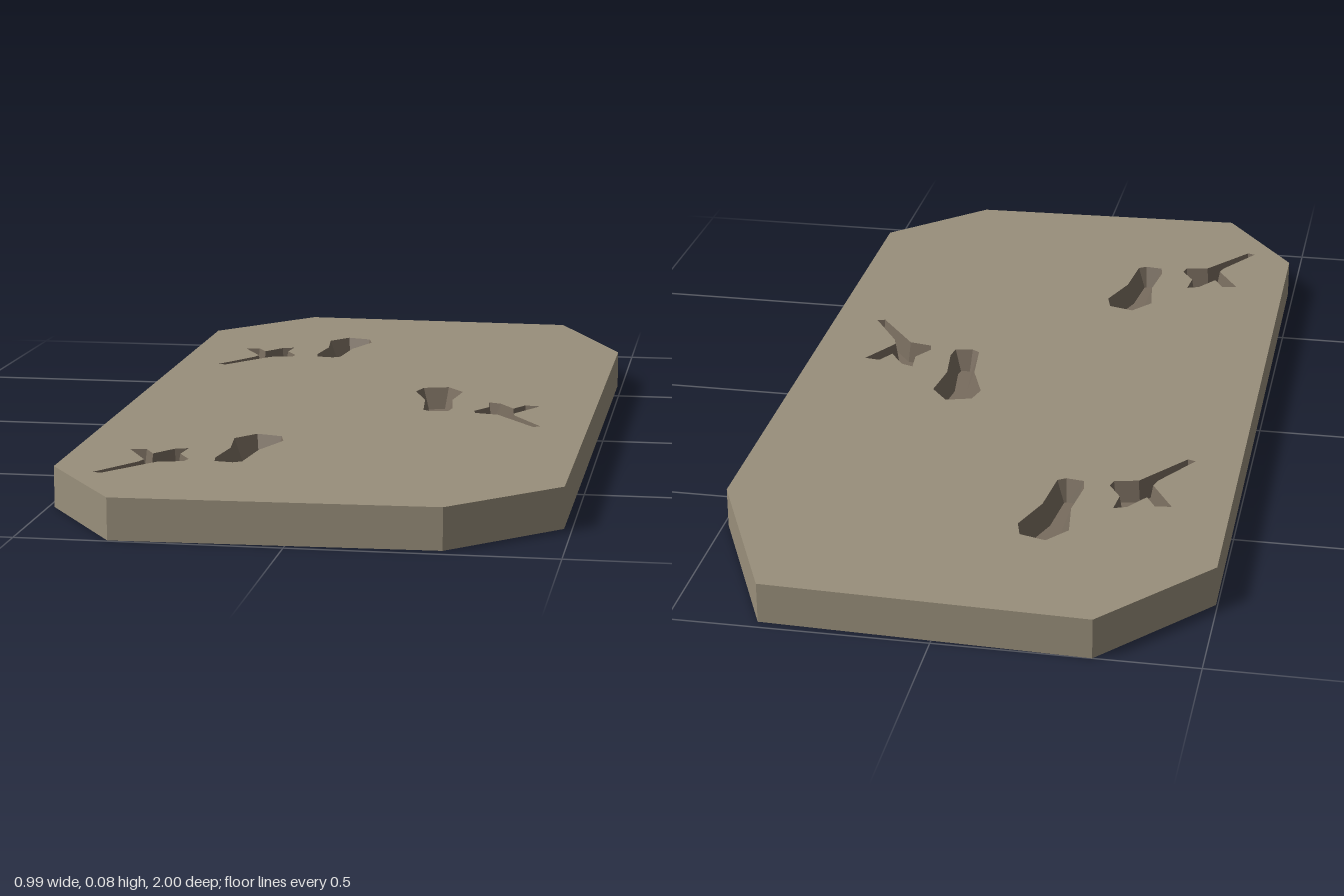
import * as THREE from 'three';

const HEIGHT = 0.08, FLOOR = 0.035;

// Plan outlines as [x, z], clockwise seen from above
const SLAB = [[-0.3, -1], [0.33, -0.98], [0.49, -0.62], [0.485, 0.78],
  [0.285, 0.975], [-0.325, 0.995], [-0.488, 0.76], [-0.497, -0.765]];
const FOOT = [[-0.164, -0.717], [-0.111, -0.701], [-0.1, -0.659], [-0.132, -0.569], [-0.143, -0.463],
  [-0.159, -0.452], [-0.196, -0.458], [-0.201, -0.489], [-0.19, -0.579], [-0.201, -0.669]];
const CLAW = [[-0.381, -0.537], [-0.349, -0.542], [-0.328, -0.505], [-0.296, -0.553], [-0.27, -0.563],
  [-0.275, -0.511], [-0.249, -0.468], [-0.254, -0.447], [-0.302, -0.437], [-0.386, -0.325],
  [-0.402, -0.331], [-0.339, -0.431], [-0.333, -0.452]];

const toPoints = loop => loop.map(([x, z]) => new THREE.Vector2(x, -z));

// Shrinks a clockwise loop by a mitred distance
function inset(loop, distance) {
  const n = loop.length;
  const normal = (a, b) => {
    const dx = b[0] - a[0], dz = b[1] - a[1], l = Math.hypot(dx, dz);
    return [-dz / l, dx / l];
  };
  return loop.map((p, i) => {
    const a = normal(loop[(i + n - 1) % n], p), b = normal(p, loop[(i + 1) % n]);
    const k = distance / Math.max(0.6, 1 + a[0] * b[0] + a[1] * b[1]);
    return [p[0] + (a[0] + b[0]) * k, p[1] + (a[1] + b[1]) * k];
  });
}

// Band of quads between an upper and a lower loop
function wall(upper, lower, yUpper, yLower, inward) {
  const pos = [];
  upper.forEach((p, i) => {
    const j = (i + 1) % upper.length;
    const at = [p[0], yUpper, p[1]], bt = [upper[j][0], yUpper, upper[j][1]];
    const ab = [lower[i][0], yLower, lower[i][1]], bb = [lower[j][0], yLower, lower[j][1]];
    const tris = inward ? [ab, bb, bt, ab, bt, at] : [ab, bt, bb, ab, at, bt];
    tris.forEach(v => pos.push(...v));
  });
  const g = new THREE.BufferGeometry();
  g.setAttribute('position', new THREE.Float32BufferAttribute(pos, 3));
  g.computeVertexNormals();
  return g;
}

// Flat horizontal face, optionally pierced
function face(loop, y, holes = [], down = false) {
  const shape = new THREE.Shape(toPoints(loop));
  shape.holes = holes.map(h => new THREE.Path(toPoints(h)));
  const g = new THREE.ShapeGeometry(shape);
  if (down) {
    const idx = g.index.array;
    for (let i = 0; i < idx.length; i += 3) [idx[i], idx[i + 1]] = [idx[i + 1], idx[i]];
    g.computeVertexNormals();
  }
  return g.rotateX(-Math.PI / 2).translate(0, y, 0);
}

export function createModel() {
  const model = new THREE.Group();
  model.name = 'trackSlab';
  const stone = new THREE.MeshStandardMaterial({ color: 0x998f7b, flatShading: true });
  const print = new THREE.MeshStandardMaterial({ color: 0x786c5e, flatShading: true });
  const add = (parent, name, geometry, material) => {
    const mesh = new THREE.Mesh(geometry, material);
    mesh.name = name;
    parent.add(mesh);
  };

  // Three steps of the trail, the middle one mirrored
  const holes = [];
  [[0, false], [0.582, true], [1.127, false]].forEach(([dz, mirrored], step) => {
    [['footprint', FOOT, 0.016], ['clawPrint', CLAW, 0.007]].forEach(([name, outline, slope]) => {
      const loop = outline.map(([x, z]) => [mirrored ? -x - 0.011 : x, z + dz]);
      if (mirrored) loop.reverse();
      holes.push(loop);
      const bottom = inset(loop, slope);
      const recess = new THREE.Group();
      recess.name = name + (step + 1);
      add(recess, 'printWall', wall(loop, bottom, HEIGHT, FLOOR, true), print);
      add(recess, 'printFloor', face(bottom, FLOOR), print);
      model.add(recess);
    });
  });

  // Slab with the prints cut into its top
  const slab = new THREE.Group();
  slab.name = 'slab';
  add(slab, 'slabTop', face(SLAB, HEIGHT, holes), stone);
  add(slab, 'slabSides', wall(SLAB, SLAB, HEIGHT, 0, false), stone);
  add(slab, 'slabBottom', face(SLAB, 0, [], true), stone);
  model.add(slab);
  return model;
}
